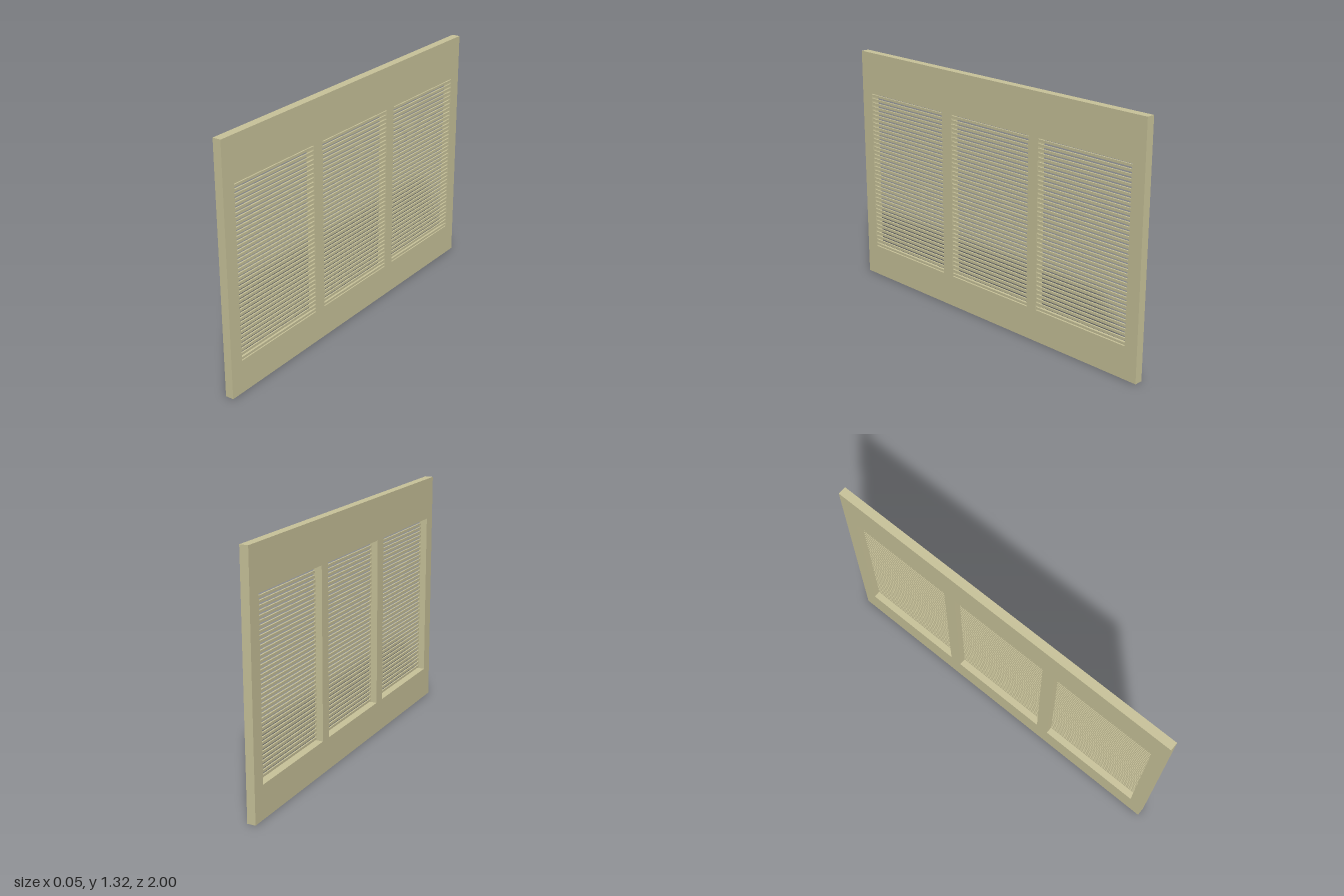
import * as THREE from 'three';

export function createModel() {
  const group = new THREE.Group();
  group.name = 'louveredPanel';
  const material = new THREE.MeshStandardMaterial({ color: 0xc9c39a, flatShading: true });

  const height = 1.315, depth = 0.045;
  const bottom = 0.175, top = 1.085;
  // z ranges of the three openings
  const openings = [[0.345, 0.925], [-0.28, 0.275], [-0.925, -0.345]];

  // Frame: outline with three window holes, drawn in (-z, y) and turned to face +x
  const outline = new THREE.Shape();
  outline.moveTo(-1, 0).lineTo(1, 0).lineTo(1, height).lineTo(-1, height).closePath();
  for (const [z0, z1] of openings) {
    const hole = new THREE.Path();
    hole.moveTo(-z1, bottom).lineTo(-z1, top).lineTo(-z0, top).lineTo(-z0, bottom).closePath();
    outline.holes.push(hole);
  }
  const frameGeometry = new THREE.ExtrudeGeometry(outline, { depth, bevelEnabled: false });
  frameGeometry.translate(0, 0, -depth / 2).rotateY(Math.PI / 2);
  const frame = new THREE.Mesh(frameGeometry, material);
  frame.name = 'frame';
  group.add(frame);

  // Slats: thin horizontal bars set close to the +x face, with gaps between them
  const count = 39, pitch = (top - bottom) / count;
  const slatDepth = 0.008, slatHeight = pitch * 0.55;
  openings.forEach(([z0, z1], i) => {
    const grille = new THREE.Group();
    grille.name = `slats${i + 1}`;
    const geometry = new THREE.BoxGeometry(slatDepth, slatHeight, z1 - z0);
    for (let k = 0; k < count; k++) {
      const slat = new THREE.Mesh(geometry, material);
      slat.name = 'slat';
      slat.position.set(depth / 2 - slatDepth / 2 - 0.001, bottom + (k + 0.5) * pitch, (z0 + z1) / 2);
      grille.add(slat);
    }
    group.add(grille);
  });
  return group;
}
